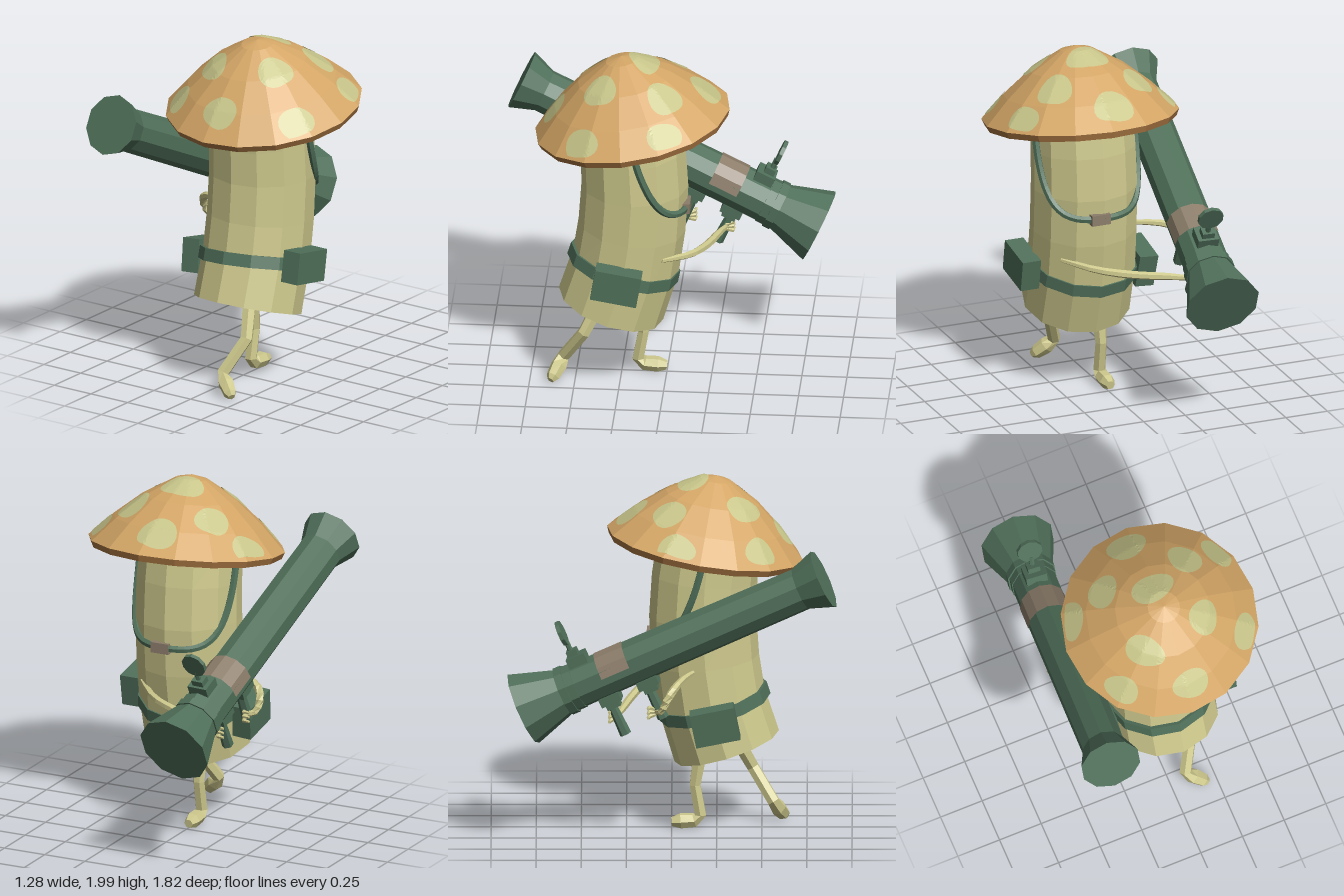
import * as THREE from 'three';

const mat = (name, color) => {
  const m = new THREE.MeshStandardMaterial({ color });
  m.name = name;
  return m;
};

const V = (x, y, z) => new THREE.Vector3(x, y, z);

// Faceted version of a geometry
function flat(geo) {
  const g = geo.index ? geo.toNonIndexed() : geo;
  g.computeVertexNormals();
  return g;
}

function add(parent, name, geo, material, pos = [0, 0, 0], rot = [0, 0, 0]) {
  const m = new THREE.Mesh(flat(geo), material);
  m.name = name;
  m.position.set(...pos);
  m.rotation.set(...rot);
  parent.add(m);
  return m;
}

// Closed skin over stations [x, y, z, radius]; ref fixes the roll
function loft(stations, sides, ref) {
  const c = stations.map(s => V(s[0], s[1], s[2]));
  const pos = [], idx = [], n = c.length;
  stations.forEach((s, i) => {
    const t = c[Math.min(i + 1, n - 1)].clone().sub(c[Math.max(i - 1, 0)]).normalize();
    const u = ref.clone().addScaledVector(t, -ref.dot(t)).normalize();
    const w = t.clone().cross(u);
    for (let j = 0; j < sides; j++) {
      const a = j / sides * Math.PI * 2;
      const p = c[i].clone().addScaledVector(u, s[3] * Math.cos(a)).addScaledVector(w, s[3] * Math.sin(a));
      pos.push(p.x, p.y, p.z);
    }
  });
  for (let i = 0; i < n - 1; i++) for (let j = 0; j < sides; j++) {
    const a = i * sides + j, b = i * sides + (j + 1) % sides;
    idx.push(a, b, b + sides, a, b + sides, a + sides);
  }
  const last = (n - 1) * sides;
  for (let j = 1; j < sides - 1; j++) idx.push(0, j + 1, j, last, last + j, last + j + 1);
  const g = new THREE.BufferGeometry();
  g.setAttribute('position', new THREE.Float32BufferAttribute(pos, 3));
  g.setIndex(idx);
  return g;
}

const lathe = (pts, sides) => new THREE.LatheGeometry(pts.map(p => new THREE.Vector2(p[0], p[1])), sides);

const capProfile = [[0.55, 0.025], [0.42, 0.157], [0.265, 0.288], [0.09, 0.393], [0, 0.415]];

// Height of the 16-sided cap above a point of its base plane
function capHeight(x, z) {
  const step = Math.PI / 8;
  const ang = Math.atan2(x, z);
  const off = ang - (Math.floor(ang / step) + 0.5) * step;
  const r = Math.hypot(x, z) * Math.cos(off) / Math.cos(step / 2);
  for (let i = 0; i < capProfile.length - 1; i++) {
    const [r0, h0] = capProfile[i], [r1, h1] = capProfile[i + 1];
    if (r >= r1) return h0 + (h1 - h0) * (r - r0) / (r1 - r0);
  }
  return 0.415;
}

// Oval patch lying on the cap, wider around than down
function spotGeometry(cx, cz, a, b) {
  const rings = 6, seg = 24, pos = [], idx = [];
  const R = Math.hypot(cx, cz), rx = cx / R, rz = cz / R;
  for (let i = 0; i <= rings; i++) for (let j = 0; j < seg; j++) {
    const t = j / seg * Math.PI * 2, k = i / rings;
    const wob = 1 + 0.05 * Math.sin(t * 3 + cx * 20);
    const p = k * b * wob * Math.cos(t), q = k * a * wob * Math.sin(t);
    let x = cx + rx * p + rz * q, z = cz + rz * p - rx * q;
    const f = Math.min(1, 0.53 / Math.hypot(x, z));
    x *= f; z *= f;
    pos.push(x, capHeight(x, z) + 0.006, z);
  }
  for (let i = 0; i < rings; i++) for (let j = 0; j < seg; j++) {
    const p = i * seg + j, q = i * seg + (j + 1) % seg;
    idx.push(p, p + seg, q + seg, p, q + seg, q);
  }
  const g = new THREE.BufferGeometry();
  g.setAttribute('position', new THREE.Float32BufferAttribute(pos, 3));
  g.setIndex(idx);
  return g;
}

export function createModel() {
  const root = new THREE.Group();
  root.name = 'mushroomSoldier';
  const stalkM = mat('pale stalk', 0xcdc88c);
  const capM = mat('orange cap', 0xd4a666);
  const rimM = mat('brown rim', 0xa87642);
  const spotM = mat('pale green spots', 0xc8c68a);
  spotM.side = THREE.DoubleSide;
  const gillM = mat('dark gills', 0x6e6654);
  const greenM = mat('army green', 0x50705a);
  const rustM = mat('worn brown', 0x8c7d6a);

  // Bent stalk
  add(root, 'stalk', loft([
    [0.07, 0.453, 0.305, 0.303], [0.07, 0.72, 0.222, 0.3], [0.073, 0.95, 0.188, 0.298],
    [0.075, 1.2, 0.172, 0.297], [0.076, 1.42, 0.183, 0.293], [0.076, 1.6, 0.205, 0.287],
  ], 12, V(1, 0, 0)), stalkM);

  // Tilted cap with spots
  const cap = new THREE.Group();
  cap.name = 'cap';
  cap.position.set(0.093, 1.585, 0.18);
  cap.rotation.set(0.165, -0.05, 0);
  root.add(cap);
  add(cap, 'capTop', lathe(capProfile, 16), capM);
  add(cap, 'capRim', lathe([[0.5, -0.012], [0.535, -0.012], [0.55, 0.025]], 16), rimM);
  add(cap, 'capUnderside', lathe([[0, 0.015], [0.5, -0.012]], 16), gillM);
  [
    [-0.05, -0.43, 0.115, 0.075], [-0.27, -0.22, 0.1, 0.072], [-0.02, -0.125, 0.125, 0.08],
    [0.22, -0.243, 0.1, 0.08], [0.42, -0.245, 0.1, 0.065], [0.2, 0.11, 0.1, 0.08],
    [0.42, 0.227, 0.105, 0.065], [0.03, 0.415, 0.105, 0.068], [-0.17, 0.183, 0.115, 0.072],
    [-0.34, 0.315, 0.1, 0.06], [-0.47, -0.145, 0.11, 0.06],
  ].forEach(s => add(cap, 'spot', spotGeometry(...s), spotM));

  // Belt and side pouches
  add(root, 'belt', new THREE.CylinderGeometry(0.313, 0.317, 0.07, 12), greenM, [0.07, 0.71, 0.232], [-0.25, 0, 0.06]);
  add(root, 'leftPouch', new THREE.BoxGeometry(0.11, 0.18, 0.26), greenM, [0.415, 0.735, 0.25], [-0.17, 0, 0]);
  add(root, 'rightPouch', new THREE.BoxGeometry(0.11, 0.19, 0.25), greenM, [-0.28, 0.66, 0.24], [-0.2, 0, 0.08]);

  // Shoulder strap hanging around the back, with a buckle
  const strap = [];
  for (let i = -8; i <= 8; i++) {
    const k = i / 8, a = k * Math.PI / 2;
    strap.push(V(0.075 + 0.298 * Math.sin(a), 1.09 + 0.49 * k ** 4, 0.178 - 0.296 * Math.cos(a)));
  }
  add(root, 'strap', new THREE.TubeGeometry(new THREE.CatmullRomCurve3(strap), 40, 0.021, 6), greenM);
  add(root, 'buckle', new THREE.BoxGeometry(0.11, 0.06, 0.04), rustM, [0.1, 1.09, -0.118]);

  // Launcher, built along its own z axis from back to front
  const front = V(-0.475, 1.545, 0.842), back = V(-0.34, 0.77, -0.82);
  const w = front.clone().sub(back).normalize();
  const u = V(0, 1, 0).cross(w).normalize();
  const gun = new THREE.Group();
  gun.name = 'launcher';
  gun.position.copy(front).add(back).multiplyScalar(0.5);
  gun.quaternion.setFromRotationMatrix(new THREE.Matrix4().makeBasis(u, w.clone().cross(u), w));
  root.add(gun);
  add(gun, 'tube', lathe([[0, -0.92], [0.212, -0.92], [0.128, -0.66], [0.122, 0.78], [0.172, 0.92], [0, 0.92]], 10)
    .rotateX(Math.PI / 2), greenM);
  add(gun, 'collar', new THREE.CylinderGeometry(0.142, 0.142, 0.045, 10).rotateX(Math.PI / 2), greenM, [0, 0, -0.655]);
  add(gun, 'collarStep', new THREE.CylinderGeometry(0.133, 0.133, 0.05, 10).rotateX(Math.PI / 2), greenM, [0, 0, -0.61]);
  add(gun, 'wornPatch', new THREE.CylinderGeometry(0.131, 0.131, 0.17, 6, 1, true, Math.PI / 2, Math.PI)
    .rotateX(Math.PI / 2), rustM, [0, 0, -0.345]);

  // Sight
  add(gun, 'sightBase', new THREE.BoxGeometry(0.12, 0.06, 0.11), greenM, [0, 0.135, -0.525]);
  add(gun, 'sightBlock', new THREE.BoxGeometry(0.07, 0.04, 0.06), greenM, [0, 0.18, -0.535]);
  add(gun, 'sightStem', new THREE.CylinderGeometry(0.015, 0.015, 0.08, 6), greenM, [0, 0.22, -0.54]);
  add(gun, 'sightDisc', new THREE.CylinderGeometry(0.073, 0.073, 0.022, 10).rotateX(Math.PI / 2), greenM, [0, 0.305, -0.543]);

  // Two hand grips
  for (const s of [-0.22, -0.45]) {
    add(gun, 'gripMount', new THREE.BoxGeometry(0.11, 0.05, 0.12), greenM, [0, -0.14, s]);
    add(gun, 'gripCollar', new THREE.BoxGeometry(0.075, 0.04, 0.08), greenM, [0, -0.175, s]);
    add(gun, 'grip', new THREE.CylinderGeometry(0.026, 0.033, 0.18, 6), greenM, [0, -0.27, s - 0.01]);
  }

  // Thin arms reaching to the grips
  const arms = [
    ['leftArm', [[0.28, 0.83, 0.01], [0.13, 0.8, -0.14], [-0.06, 0.77, -0.22], [-0.25, 0.75, -0.27], [-0.36, 0.735, -0.3]]],
    ['rightArm', [[-0.2, 0.94, 0.12], [-0.34, 0.935, 0.06], [-0.44, 0.9, 0.01], [-0.47, 0.84, -0.03], [-0.455, 0.78, -0.06], [-0.41, 0.77, -0.085]]],
  ];
  for (const [name, pts] of arms) {
    const curve = new THREE.CatmullRomCurve3(pts.map(p => V(...p)));
    const st = curve.getPoints(10).map((p, i) => [p.x, p.y, p.z, 0.014 + 0.009 * Math.sin(i / 10 * Math.PI)]);
    add(root, name, loft(st, 6, V(0, 1, 0.1)), stalkM);
    const e = pts[pts.length - 1];
    // Fingers curled behind the grip
    for (let k = -1; k <= 1; k++) {
      const y = e[1] + k * 0.026;
      add(root, name + 'Finger', loft([
        [e[0], e[1] + k * 0.012, e[2], 0.011], [e[0] - 0.01, y, e[2] - 0.04, 0.012],
        [e[0] - 0.045, y, e[2] - 0.045, 0.008],
      ], 5, V(0, 1, 0)), stalkM);
    }
  }

  // Bent legs with small feet
  add(root, 'leftLeg', loft([
    [0.11, 0.52, 0.34, 0.042], [0.165, 0.31, 0.45, 0.036], [0.09, 0.13, 0.565, 0.036],
    [0.125, 0.085, 0.59, 0.046], [0.175, 0.04, 0.62, 0.038], [0.195, 0.025, 0.632, 0.02],
  ], 6, V(1, 0, 0)), stalkM);
  add(root, 'rightLeg', loft([
    [-0.005, 0.45, 0.16, 0.045], [-0.01, 0.25, 0.13, 0.034], [-0.012, 0.08, 0.16, 0.036],
    [-0.012, 0.05, 0.125, 0.042], [-0.012, 0.045, 0.05, 0.044], [-0.012, 0.04, 0.0, 0.026],
  ], 6, V(1, 0, 0)), stalkM);

  return root;
}
